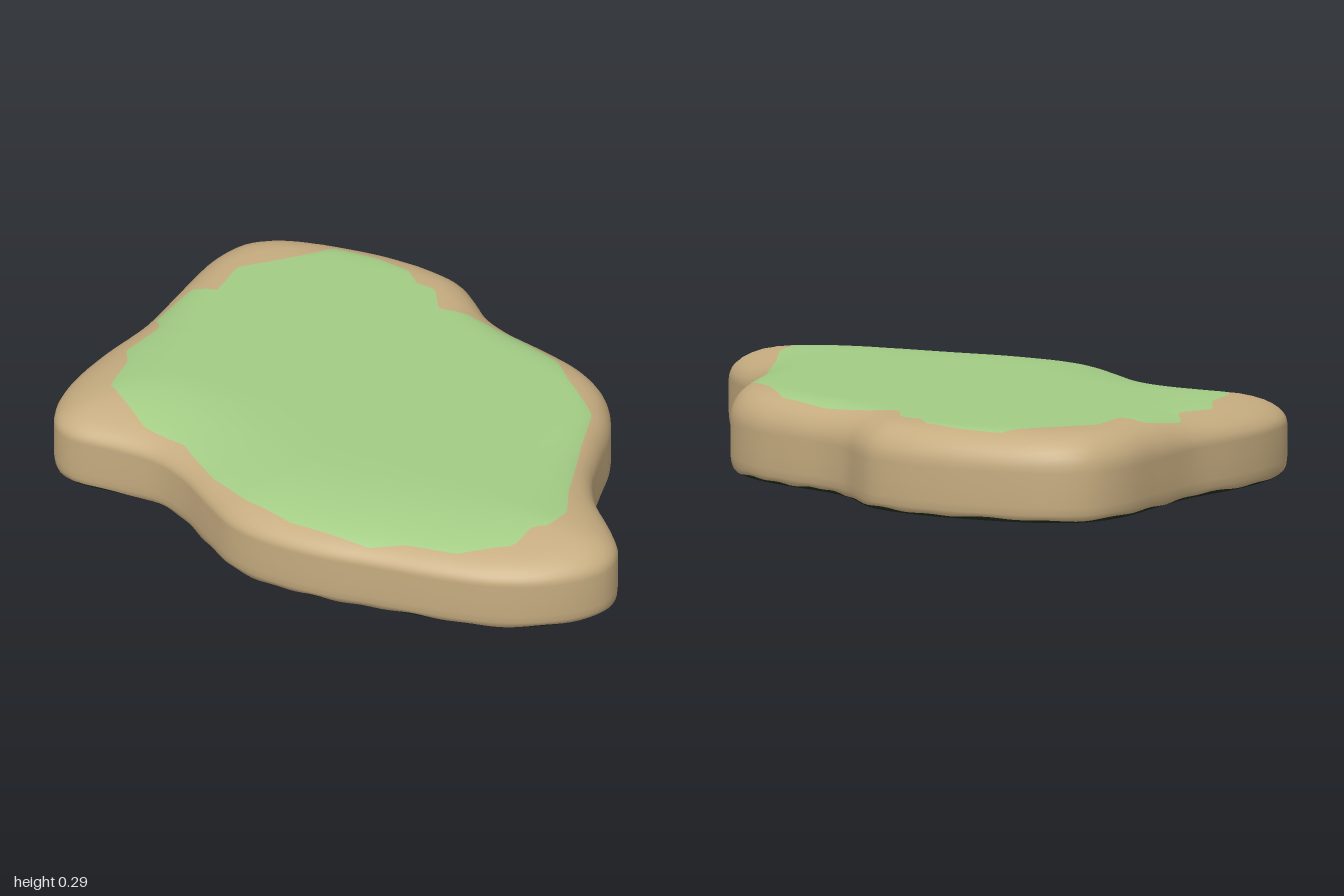
import * as THREE from 'three';

// plan outlines, x and z pairs
const SHORE = [
  -.37, -.76, -.25, -.745, -.17, -.70, -.08, -.64, .03, -.605, .2, -.585, .35, -.555, .47, -.49,
  .56, -.38, .62, -.24, .68, -.11, .77, 0, .9, .10, .98, .18, 1, .27, .96, .37, .87, .47, .75, .55,
  .6, .61, .4, .67, .2, .73, 0, .755, -.12, .74, -.25, .68, -.4, .605, -.53, .575, -.68, .595,
  -.81, .62, -.89, .595, -.95, .51, -.985, .38, -.99, .22, -.97, 0, -.985, -.2, -1, -.4,
  -.97, -.53, -.9, -.61, -.79, -.67, -.62, -.725, -.5, -.75];
const GRASS = [
  -.67, -.625, -.53, -.65, -.40, -.645, -.34, -.60, -.27, -.605, -.20, -.52, -.11, -.55, .08, -.54,
  .27, -.50, .37, -.42, .53, -.32, .6, -.16, .66, -.04, .72, .08, .79, .19, .79, .29, .75, .32,
  .75, .42, .61, .54, .45, .59, .35, .65, .08, .69, -.11, .67, -.27, .615, -.45, .52, -.61, .51,
  -.81, .41, -.84, .27, -.89, .21, -.87, .05, -.92, 0, -.91, -.18, -.83, -.21, -.855, -.35,
  -.775, -.455, -.70, -.56];

const SIDES = 240;
const CX = -0.05;

function toPoints(list) {
  const pts = [];
  for (let i = 0; i < list.length; i += 2) pts.push(new THREE.Vector2(list[i], list[i + 1]));
  return pts;
}

// distance from the middle to a closed outline along one direction
function radiusAt(pts, angle) {
  const dx = Math.cos(angle), dz = Math.sin(angle);
  let best = 0;
  pts.forEach((a, i) => {
    const b = pts[(i + 1) % pts.length];
    const ex = b.x - a.x, ez = b.y - a.y, ax = a.x - CX, az = a.y;
    const det = dx * ez - dz * ex;
    if (Math.abs(det) < 1e-9) return;
    const r = (ax * ez - az * ex) / det;
    const s = (ax * dz - az * dx) / det;
    if (s >= -1e-6 && s <= 1 + 1e-6 && r > best) best = r;
  });
  return best;
}

function edgeDistance(pts, x, z) {
  let best = Infinity;
  pts.forEach((a, i) => {
    const b = pts[(i + 1) % pts.length];
    const ex = b.x - a.x, ez = b.y - a.y;
    const s = THREE.MathUtils.clamp(((x - a.x) * ex + (z - a.y) * ez) / (ex * ex + ez * ez || 1), 0, 1);
    best = Math.min(best, Math.hypot(x - a.x - ex * s, z - a.y - ez * s));
  });
  return best;
}

// rounded shoulder, softer toward the front
function topHeight(shore, x, z) {
  const width = 0.15 + 0.3 * THREE.MathUtils.smoothstep(z, -0.3, 0.6);
  const d = Math.min(edgeDistance(shore, x, z) / width, 1);
  return 0.17 + 0.117 * Math.sqrt(1 - Math.pow(1 - d, 2.5));
}

export function createModel() {
  const group = new THREE.Group();
  group.name = 'island';

  const shore = new THREE.CatmullRomCurve3(
    toPoints(SHORE).map(p => new THREE.Vector3(p.x, 0, p.y)), true, 'centripetal')
    .getPoints(200).slice(0, -1).map(p => new THREE.Vector2(p.x, p.z));
  const grass = toPoints(GRASS);

  // rings from the underside middle, up the side, to the top middle
  const rings = [];
  [[0, 0], [0.5, 0], [0.85, 0.002]].forEach(([f, y]) => rings.push({ r: R => R * f, y: () => y }));
  [[0.05, 0.005], [0.025, 0.009]].forEach(([inset, y]) => rings.push({ r: R => R - inset, y: () => y }));
  rings.push({
    r: R => R - 0.009,
    y: a => 0.019 + 0.004 * Math.sin(a * 9) * Math.sin(a * 23 + 1),
  });
  const baseEnd = rings.length - 1;
  [[0.003, 0.035], [0, 0.06], [0, 0.11], [0, 0.17]].forEach(([inset, y]) =>
    rings.push({ r: R => R - inset, y: () => y }));
  [0.015, 0.05, 0.11, 0.2, 0.32, 0.48, 0.7, 1].forEach(f =>
    rings.push({ r: (R, G) => R + (G - R) * f }));
  const rimEnd = rings.length - 1;
  [0.97, 0.93, 0.88, 0.82, 0.75, 0.66, 0.55, 0.4, 0.2, 0].forEach(f =>
    rings.push({ r: (R, G) => G * f }));

  const position = [];
  const spokes = Array.from({ length: SIDES }, (_, j) => {
    const a = j / SIDES * Math.PI * 2;
    const R = radiusAt(shore, a);
    return { a, R, G: Math.min(radiusAt(grass, a), R - 0.02) };
  });
  rings.forEach(ring => spokes.forEach(({ a, R, G }) => {
    const r = ring.r(R, G);
    const x = CX + Math.cos(a) * r, z = Math.sin(a) * r;
    position.push(x, ring.y ? ring.y(a) : topHeight(shore, x, z), z);
  }));

  const bandIndex = (from, to) => {
    const index = [];
    for (let i = from; i < to; i++) {
      for (let j = 0; j < SIDES; j++) {
        const k = (j + 1) % SIDES;
        const a = i * SIDES + j, b = i * SIDES + k, c = a + SIDES, d = b + SIDES;
        index.push(a, c, b, b, c, d);
      }
    }
    return index;
  };

  // one smooth skin, its normals shared by the three coloured bands
  const skin = new THREE.BufferGeometry();
  skin.setAttribute('position', new THREE.Float32BufferAttribute(position, 3));
  skin.setIndex(bandIndex(0, rings.length - 1));
  skin.computeVertexNormals();
  // poles point straight down and up
  for (let j = 0; j < SIDES; j++) {
    skin.attributes.normal.setXYZ(j, 0, -1, 0);
    skin.attributes.normal.setXYZ((rings.length - 1) * SIDES + j, 0, 1, 0);
  }

  const addBand = (name, colorName, color, from, to) => {
    const geometry = new THREE.BufferGeometry();
    geometry.setAttribute('position', skin.attributes.position);
    geometry.setAttribute('normal', skin.attributes.normal);
    geometry.setIndex(bandIndex(from, to));
    const material = new THREE.MeshStandardMaterial({ color });
    material.name = colorName;
    const mesh = new THREE.Mesh(geometry, material);
    mesh.name = name;
    group.add(mesh);
  };
  addBand('underside', 'dark green', 0x24301e, 0, baseEnd);
  addBand('earthRim', 'sandy tan', 0xc6ac80, baseEnd, rimEnd);
  addBand('grassTop', 'grass green', 0xa3cc85, rimEnd, rings.length - 1);
  return group;
}
